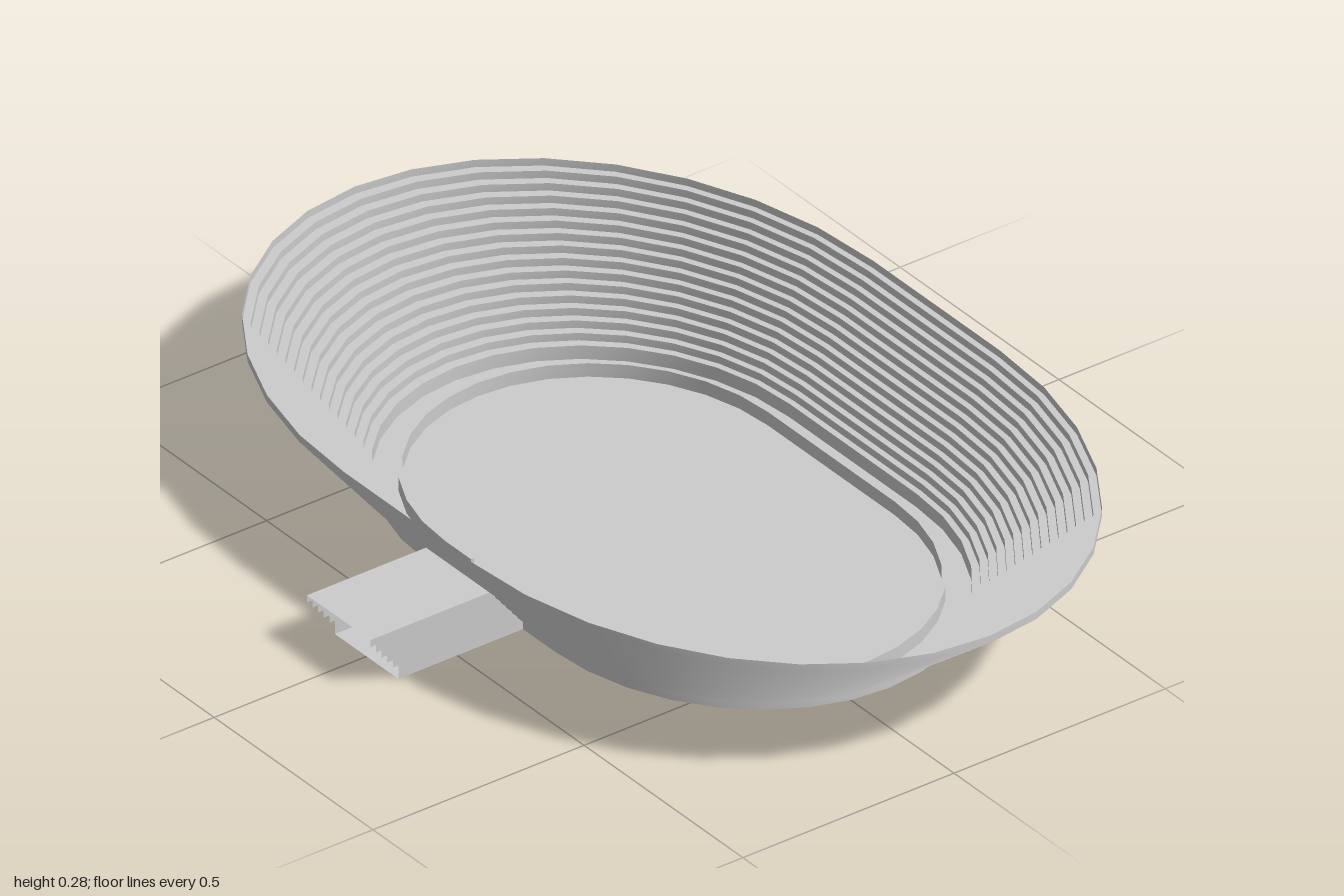
import * as THREE from 'three';
import { mergeGeometries } from 'three/addons/utils/BufferGeometryUtils.js';

const CX = 0.084;          // centre line of the bowl
const STRAIGHT = 0.2;      // half length of the straight sides
const ROWS = 15;           // seating rows
const BASE_H = 0.03, TOP_H = 0.275;
const TUNNEL_ROWS = 5, TUNNEL_W = 0.1, TUNNEL_SHIFT = -0.295;

const material = new THREE.MeshStandardMaterial({ color: 0xcccccc, side: THREE.DoubleSide });

const rowWidth = i => 0.428 + (0.626 - 0.428) * i / ROWS;
const rowLength = i => 0.684 + (1.0 - 0.684) * i / ROWS;
const rowHeight = i => BASE_H + (TOP_H - BASE_H) * i / ROWS;

// Oval with straight sides, running from the gap on the -x side all the way round
function outline(halfW, halfL, gap, closed) {
  const pts = [[CX - halfW, gap]];
  const N = 16;
  for (const s of [1, -1]) {
    for (let k = 0; k <= N; k++) {
      const a = Math.PI * k / N;
      pts.push([CX - s * halfW * Math.cos(a), s * (STRAIGHT + (halfL - STRAIGHT) * Math.sin(a))]);
    }
  }
  pts.push([CX - halfW, -gap]);
  if (closed) pts.push([CX - halfW, gap]);
  return pts;
}

// Strip between two outlines at two heights
function band(a, ya, b, yb) {
  const pos = [], idx = [];
  a.forEach((p, i) => {
    pos.push(p[0], ya, p[1], b[i][0], yb, b[i][1]);
    if (i) {
      const k = 2 * i;
      idx.push(k - 2, k, k - 1, k, k + 1, k - 1);
    }
  });
  const g = new THREE.BufferGeometry();
  g.setAttribute('position', new THREE.Float32BufferAttribute(pos, 3));
  g.setIndex(idx);
  g.computeVertexNormals();
  return g;
}

function add(group, name, geometry) {
  const mesh = new THREE.Mesh(geometry, material);
  mesh.name = name;
  group.add(mesh);
  return mesh;
}

// Horizontal rectangle facing up
function slab(x0, x1, y, halfZ) {
  return new THREE.PlaneGeometry(x1 - x0, 2 * halfZ).rotateX(-Math.PI / 2).translate((x0 + x1) / 2, y, 0);
}

export function createModel() {
  const group = new THREE.Group();
  group.name = 'stadium';

  // Stepped stands: a riser and a tread per row, open where the tunnel passes
  const steps = [];
  for (let i = 0; i <= ROWS; i++) {
    const line = (j, closed) => outline(rowWidth(j), rowLength(j), TUNNEL_W, closed);
    const riser = line(i, i > TUNNEL_ROWS);
    steps.push(band(riser, i ? rowHeight(i - 1) : 0, riser, rowHeight(i)));
    if (i < ROWS) {
      const c = i >= TUNNEL_ROWS;
      steps.push(band(line(i, c), rowHeight(i), line(i + 1, c), rowHeight(i)));
    }
  }
  add(group, 'stands', mergeGeometries(steps));

  // Ground inside the stands
  const ground = new THREE.Shape(outline(rowWidth(0), rowLength(0), TUNNEL_W, false)
    .map(([x, z]) => new THREE.Vector2(x, -z)));
  add(group, 'field', new THREE.ShapeGeometry(ground).rotateX(-Math.PI / 2));

  // Thin barrier round the field, open towards the tunnel
  const inner = outline(0.378, 0.614, 0.12, false);
  const outer = outline(0.386, 0.622, 0.12, false);
  const H = 0.03;
  const ends = [0, inner.length - 1].map(k =>
    band([inner[k], outer[k]], 0, [inner[k], outer[k]], H));
  add(group, 'fieldBarrier', mergeGeometries([
    band(inner, 0, inner, H), band(inner, H, outer, H), band(outer, H, outer, 0), ...ends,
  ]));

  // Tunnel: side walls whose ends follow the steps, with a floor and a roof
  const profile = [];
  for (let i = 0; i <= TUNNEL_ROWS; i++) {
    const x = CX - rowWidth(i);
    profile.push([x, i ? rowHeight(i - 1) : 0], [x, rowHeight(i)]);
  }
  const wall = new THREE.Shape([
    ...profile.map(([x, y]) => new THREE.Vector2(x, y)),
    ...profile.slice().reverse().map(([x, y]) => new THREE.Vector2(x + TUNNEL_SHIFT, y)),
  ]);
  const tunnel = new THREE.Group();
  tunnel.name = 'tunnel';
  group.add(tunnel);
  add(tunnel, 'leftWall', new THREE.ShapeGeometry(wall).translate(0, 0, TUNNEL_W));
  add(tunnel, 'rightWall', new THREE.ShapeGeometry(wall).rotateY(Math.PI)
    .scale(-1, 1, 1).translate(0, 0, -TUNNEL_W));
  const x0 = CX - rowWidth(0), x5 = CX - rowWidth(TUNNEL_ROWS);
  add(tunnel, 'tunnelFloor', slab(x0 + TUNNEL_SHIFT, x0, 0, TUNNEL_W));
  add(tunnel, 'tunnelRoof', slab(x5 + TUNNEL_SHIFT, x5, rowHeight(TUNNEL_ROWS), TUNNEL_W));

  return group;
}
